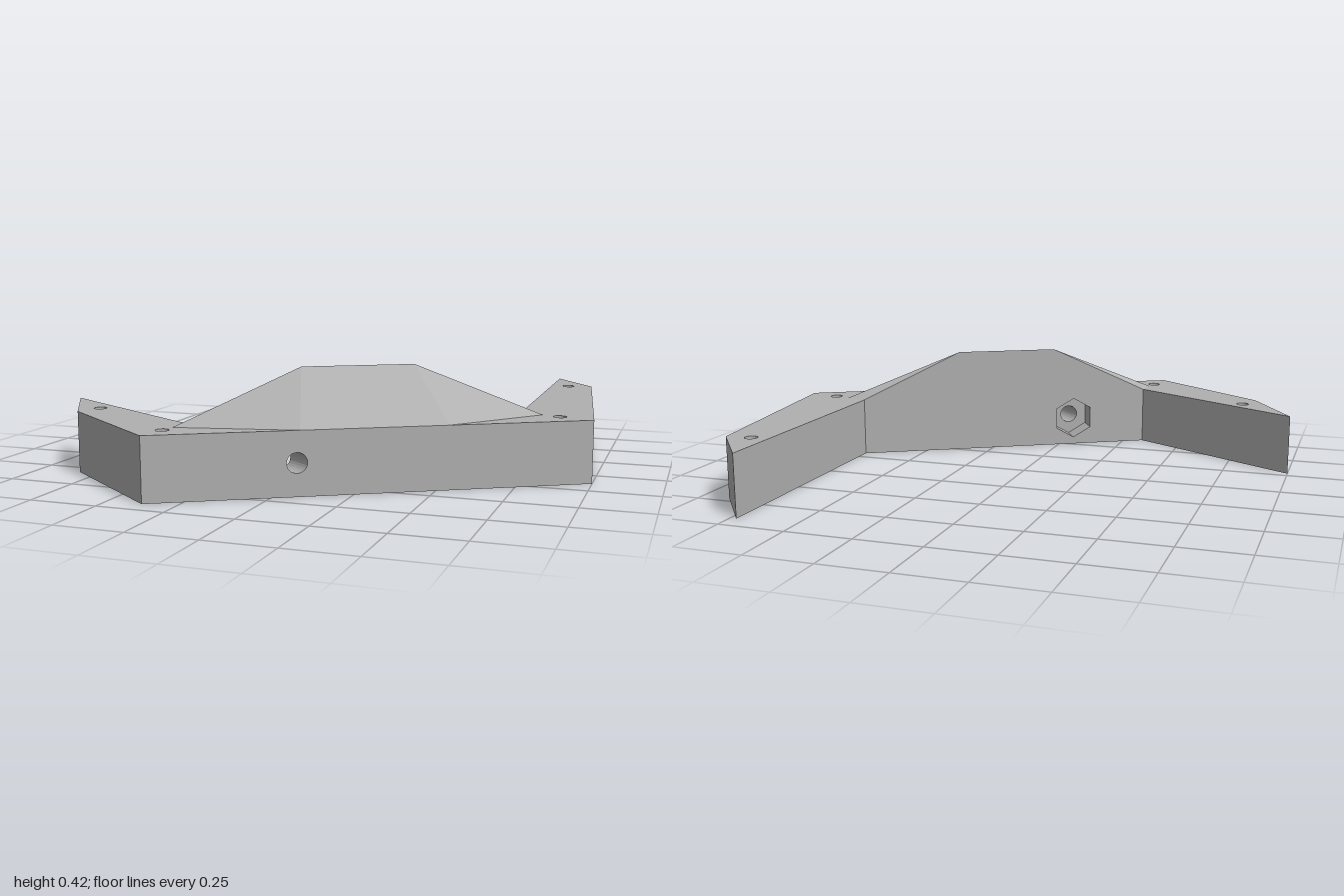
import * as THREE from 'three';

const H = 0.23, R = 0.024, BORE = 0.036, PEAK = 0.42;
const V2 = (x, y) => new THREE.Vector2(x, y);
const V3 = (x, y, z) => new THREE.Vector3(x, y, z);

// regular polygon, counter-clockwise
const ring = (cx, cy, r, n, start = 0) => Array.from({ length: n }, (_, i) => {
  const a = start + (i / n) * Math.PI * 2;
  return V2(cx + r * Math.cos(a), cy + r * Math.sin(a));
});

export function createModel() {
  const model = new THREE.Group();
  const grey = new THREE.MeshStandardMaterial({ color: 0xb0b0b0 });
  grey.name = 'plain grey';

  const add = (name, geo) => {
    const m = new THREE.Mesh(geo, grey);
    m.name = name;
    model.add(m);
  };
  // flat panel with holes, placed by a matrix
  const panel = (name, matrix, outline, holes = []) => {
    const s = new THREE.Shape(outline);
    holes.forEach((h) => s.holes.push(new THREE.Path(h)));
    add(name, new THREE.ShapeGeometry(s).applyMatrix4(matrix));
  };
  // flat-shaded convex polygons
  const facets = (name, polys) => {
    const pts = [];
    polys.forEach((p) => {
      for (let i = 1; i < p.length - 1; i++) pts.push(p[0], p[i], p[i + 1]);
    });
    const g = new THREE.BufferGeometry().setFromPoints(pts);
    g.computeVertexNormals();
    add(name, g);
  };
  // inward-facing wall between two matching rings
  const tunnel = (name, a, b) => facets(name, a.map((p, i) => {
    const j = (i + 1) % a.length;
    return [p, a[j], b[j], b[i]];
  }));
  // frame of an upright wall running from a to b, outside along its z axis
  const frame = (a, b) => {
    const u = V3(b[0] - a[0], 0, b[1] - a[1]).normalize(), y = V3(0, 1, 0);
    return new THREE.Matrix4().makeBasis(u, y, u.clone().cross(y)).setPosition(a[0], 0, a[1]);
  };
  const lift = (pts, m) => pts.map((p) => V3(p.x, p.y, 0).applyMatrix4(m));

  // plan corners (x, z), running round the bracket
  const plan = [[-1, 0.28], [-0.83, 0.57], [-0.37, 0.927], [1, 0.135],
    [0.89, -0.715], [0.725, -0.927], [0.725, 0.06], [-0.33, 0.67]];
  const [A, B, C, D, E, F, G, K] = plan;
  // foot of the raised hump on the slab
  const P = [-0.34, 0.755], Q = [0.09, 0.661], S = [0.54, 0.401], T = [0.81, 0.08];
  const screwHoles = [[-0.79, 0.475], [-0.35, 0.81], [0.875, 0.1], [0.795, -0.7]];

  // slab top and bottom
  const top = new THREE.Matrix4().makeRotationX(-Math.PI / 2).setPosition(0, H, 0);
  const bottom = new THREE.Matrix4().makeRotationX(Math.PI / 2);
  const up = (pts) => pts.map(([x, z]) => V2(x, -z));
  const holesUp = screwHoles.map(([x, z]) => ring(x, -z, R, 20));
  panel('rightArmTop', top, up([A, B, C, Q, P, K]), holesUp.slice(0, 2));
  panel('leftArmTop', top, up([S, D, E, F, G, T]), holesUp.slice(2));
  panel('underside', bottom, plan.map(([x, z]) => V2(x, z)),
    screwHoles.map(([x, z]) => ring(x, z, R, 20)));

  // screw hole walls
  holesUp.forEach((h) => {
    const upper = lift(h, top);
    tunnel('screwHole', upper, upper.map((p) => V3(p.x, 0, p.z)));
  });

  // upright walls; the front has a bore, the back rises into the hump and has a nut pocket
  const length = (a, b) => Math.hypot(b[0] - a[0], b[1] - a[1]);
  const backLen = length(G, K), backFrame = frame(G, K), frontFrame = frame(C, D);
  const boreRing = ring(length(C, D) * 0.329, 0.118, BORE, 24);
  const pocketX = backLen * 0.742, pocketY = 0.115;
  const hex = ring(pocketX, pocketY, 0.086, 6, Math.PI / 2);
  plan.forEach((a, i) => {
    const b = plan[(i + 1) % plan.length], l = length(a, b);
    const outline = [V2(0, 0), V2(l, 0), V2(l, H), V2(0, H)];
    if (a === G) outline.splice(3, 0, V2(l * 0.668, PEAK), V2(l * 0.332, PEAK));
    const holes = a === C ? [boreRing] : a === G ? [hex] : [];
    panel(a === C ? 'frontWall' : a === G ? 'backWall' : 'sideWall', frame(a, b), outline, holes);
  });

  // nut pocket and the bore leading into it
  const floorFrame = backFrame.clone().multiply(new THREE.Matrix4().makeTranslation(0, 0, -0.09));
  tunnel('nutPocket', lift(hex, backFrame), lift(hex, floorFrame));
  panel('nutPocketFloor', floorFrame, hex, [ring(pocketX, pocketY, BORE, 24)]);
  const mouth = lift(boreRing, frontFrame);
  const from = V3(length(C, D) * 0.329, 0.118, 0).applyMatrix4(frontFrame);
  const shift = V3(pocketX, pocketY, 0).applyMatrix4(floorFrame).sub(from);
  tunnel('bore', mouth, mouth.map((p) => p.clone().add(shift)));

  // sloping faces of the hump
  const [k, p, q, s, t, g] = [K, P, Q, S, T, G].map(([x, z]) => V3(x, H, z));
  const r1 = V3(backLen * 0.668, PEAK, 0).applyMatrix4(backFrame);
  const r2 = V3(backLen * 0.332, PEAK, 0).applyMatrix4(backFrame);
  facets('hump', [[k, p, r1], [p, q, r1], [q, s, r2, r1], [s, t, r2], [t, g, r2]]);

  return model;
}
